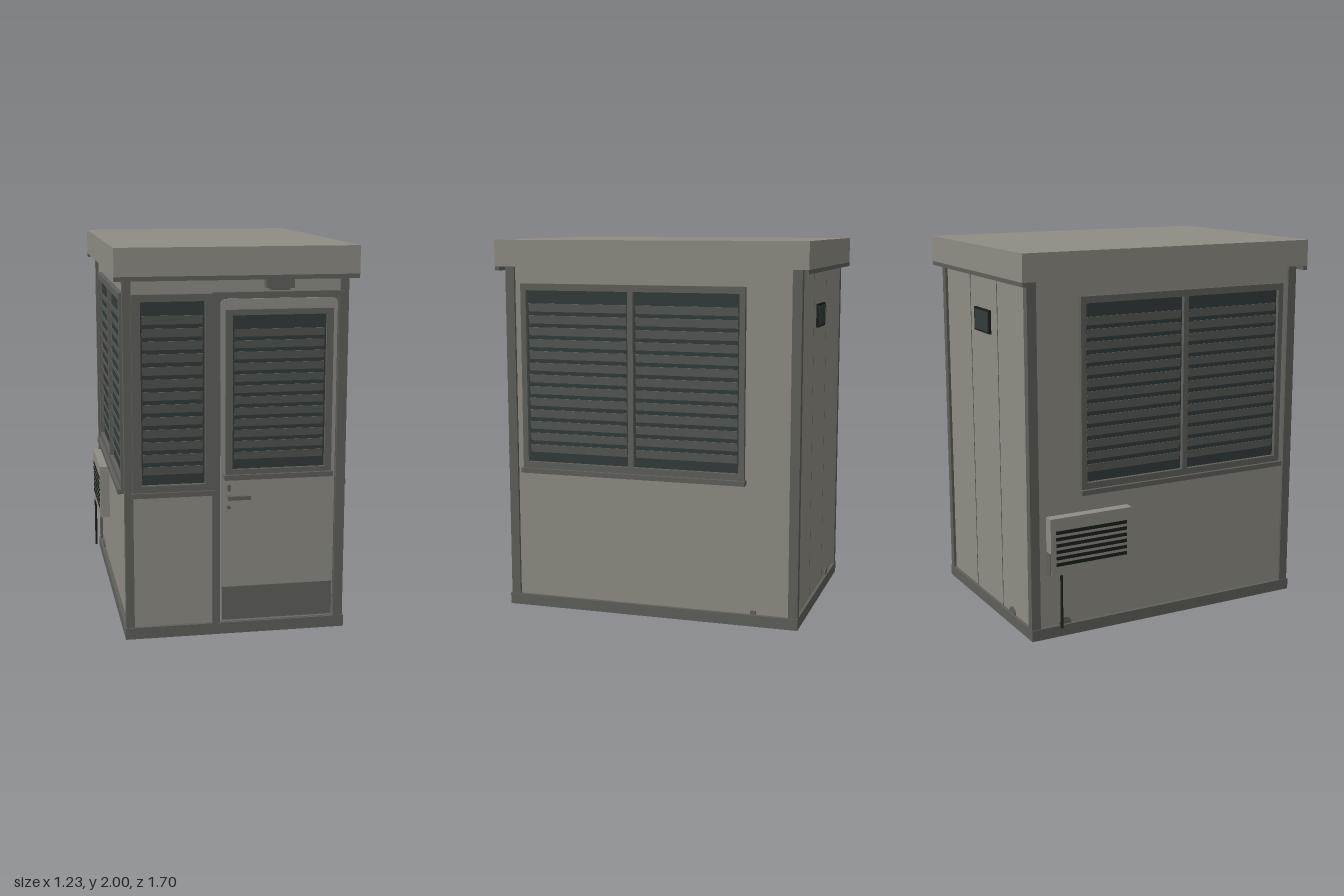
import * as THREE from 'three';

const mat = (name, color) => {
  const m = new THREE.MeshStandardMaterial({ color });
  m.name = name;
  return m;
};

export function createModel() {
  const panel = mat('panel grey', 0x8f8c83);
  const trim = mat('trim grey', 0x5f605a);
  const slatGrey = mat('blind grey', 0x60645f);
  const glass = mat('dark glass', 0x323b3b);
  const black = mat('black', 0x1c1e1e);

  const model = new THREE.Group();
  model.name = 'guardBooth';

  // Box given by its limits on each axis
  const box = (name, m, x0, x1, y0, y1, z0, z1, parent = model) => {
    const mesh = new THREE.Mesh(new THREE.BoxGeometry(x1 - x0, y1 - y0, z1 - z0), m);
    mesh.position.set((x0 + x1) / 2, (y0 + y1) / 2, (z0 + z1) / 2);
    mesh.name = name;
    parent.add(mesh);
    return mesh;
  };

  // Short round part whose axis points along +z of its parent
  const disc = (name, m, r, depth, x, y, z, parent = model) => {
    const geo = new THREE.CylinderGeometry(r, r, depth, 24).rotateX(Math.PI / 2);
    const mesh = new THREE.Mesh(geo, m);
    mesh.position.set(x, y, z + depth / 2);
    mesh.name = name;
    parent.add(mesh);
    return mesh;
  };

  // Rectangular outline
  const rect = (Type, x0, x1, y0, y1) => {
    const s = new Type();
    s.moveTo(x0, y0);
    s.lineTo(x1, y0);
    s.lineTo(x1, y1);
    s.lineTo(x0, y1);
    s.closePath();
    return s;
  };

  // Window facing local +z, with its back at z = 0: frame, panes, blinds, sill
  const blindWindow = (name, [x0, x1, y0, y1], panes, [g0, g1], slats, sillOut, frameOut) => {
    const win = new THREE.Group();
    win.name = name;
    const shape = rect(THREE.Shape, x0, x1, y0, y1);
    for (const [a, b] of panes) shape.holes.push(rect(THREE.Path, a, b, g0, g1));
    const frame = new THREE.Mesh(
      new THREE.ExtrudeGeometry(shape, { depth: frameOut, bevelEnabled: false }), trim);
    frame.name = 'windowFrame';
    win.add(frame);
    const low = g0 + 0.042, pitch = (g1 - 0.06 - low) / slats;
    for (const [a, b] of panes) {
      box('pane', glass, a, b, g0, g1, 0, 0.003, win);
      for (let i = 0; i < slats; i++) {
        const y = low + (i + 0.5) * pitch;
        const s = box('blindSlat', slatGrey, a + 0.01, b - 0.01,
          y - pitch * 0.36, y + pitch * 0.36, 0.009, 0.011, win);
        s.rotation.x = 0.25;
      }
    }
    box('windowSill', trim, x0 - 0.007, x1 + 0.007, y0 - 0.02, y0 + 0.006, 0, sillOut, win);
    model.add(win);
    return win;
  };

  // Base, walls, roof
  box('base', trim, -0.575, 0.575, 0, 0.06, -0.805, 0.81);
  box('walls', panel, -0.555, 0.555, 0.06, 1.86, -0.79, 0.79);
  box('roof', panel, -0.613, 0.613, 1.86, 2, -0.845, 0.845);
  for (const s of [-1, 1]) {
    const z = s * 0.832;
    box('roofDripEdge', trim, -0.613, 0.613, 1.838, 1.86, z - 0.012, z + 0.012);
    box('eaveTrim', trim, -0.57, 0.57, 1.84, 1.86, s * 0.795 - 0.01, s * 0.795 + 0.01);
  }

  // Corner posts
  for (const sx of [-1, 1]) {
    for (const sz of [-1, 1]) {
      const x = sx * 0.549, z = sz * 0.779;
      box('cornerPost', trim, x - 0.021, x + 0.021, 0.06, 1.86, z - 0.025, z + 0.025);
    }
  }

  // Side windows, divided in two
  for (const s of [-1, 1]) {
    const m = s * 0.0;
    const w = blindWindow('sideWindow', [-0.615, 0.615, 0.77, 1.77],
      [[-0.585 + m, -0.015], [0.015, 0.585 + m]], [0.81, 1.735], 13, 0.043, 0.025);
    w.rotation.y = s * Math.PI / 2;
    w.position.set(s * 0.555, 0, 0.1);
  }

  // Front window beside the door
  blindWindow('frontWindow', [-0.53, -0.125, 0.77, 1.77],
    [[-0.485, -0.163]], [0.81, 1.735], 13, 0.04, 0.03).position.z = 0.79;

  // Door surround and rounded door leaf
  box('doorSurround', trim, -0.125, 0.545, 0.06, 1.775, 0.785, 0.797);
  box('doorPost', trim, -0.125, -0.09, 0.06, 1.775, 0.79, 0.815);
  box('doorPost', trim, 0.518, 0.545, 0.06, 1.775, 0.79, 0.815);
  box('doorHead', trim, -0.125, 0.545, 1.75, 1.775, 0.79, 0.815);
  const d = new THREE.Shape();
  d.moveTo(-0.083, 0.066);
  d.lineTo(0.512, 0.066);
  d.lineTo(0.512, 1.71);
  d.quadraticCurveTo(0.512, 1.742, 0.48, 1.742);
  d.lineTo(-0.051, 1.742);
  d.quadraticCurveTo(-0.083, 1.742, -0.083, 1.71);
  d.closePath();
  const leaf = new THREE.Mesh(
    new THREE.ExtrudeGeometry(d, { depth: 0.012, bevelEnabled: false, curveSegments: 6 }), panel);
  leaf.position.z = 0.795;
  leaf.name = 'doorLeaf';
  model.add(leaf);
  box('kickPlate', trim, -0.075, 0.507, 0.076, 0.255, 0.806, 0.811);
  blindWindow('doorWindow', [-0.06, 0.488, 0.848, 1.69],
    [[-0.025, 0.453]], [0.88, 1.662], 12, 0.035, 0.02).position.z = 0.807;

  // Door handle, lock and closer
  box('handleStem', trim, -0.048, -0.03, 0.726, 0.744, 0.805, 0.845);
  box('doorHandle', trim, -0.05, 0.065, 0.725, 0.745, 0.835, 0.85);
  box('lockPlate', trim, -0.05, -0.035, 0.77, 0.8, 0.805, 0.835);
  disc('keyCylinder', trim, 0.01, 0.015, -0.042, 0.68, 0.806);
  box('doorCloser', trim, 0.14, 0.28, 1.795, 1.84, 0.79, 0.845);
  box('doorCloserFoot', trim, 0.16, 0.26, 1.785, 1.795, 0.79, 0.84);

  // Rear seams and vent
  for (const x of [-0.17, 0.19]) {
    box('rearSeam', trim, x - 0.002, x + 0.002, 0.06, 1.84, -0.792, -0.788);
  }
  box('rearVentFrame', black, -0.085, 0.115, 1.535, 1.66, -0.803, -0.788);
  box('rearVentPane', glass, -0.075, 0.105, 1.545, 1.65, -0.806, -0.802);

  // Cable ports along the base
  disc('rearPort', trim, 0.035, 0.008, -0.3, 0.062, -0.798);
  const port = new THREE.Group();
  port.name = 'sidePort';
  port.rotation.y = -Math.PI / 2;
  port.position.set(-0.555, 0, -0.61);
  disc('portCap', trim, 0.035, 0.008, 0, 0.062, 0, port);
  model.add(port);
  box('sideOutlet', trim, 0.55, 0.56, 0.06, 0.08, -0.58, -0.55);

  // Air conditioner with grille and drain pipe
  box('airConditioner', panel, -0.61, -0.55, 0.35, 0.655, -0.71, -0.24);
  box('airConditionerEndCover', trim, -0.608, -0.56, 0.352, 0.47, -0.713, -0.7);
  for (let i = 0; i < 6; i++) {
    const y = 0.4 + i * 0.034;
    box('grilleSlot', black, -0.613, -0.609, y, y + 0.018, -0.68, -0.27);
  }
  const pipe = new THREE.Mesh(new THREE.CylinderGeometry(0.007, 0.007, 0.29, 12), black);
  pipe.position.set(-0.606, 0.205, -0.65);
  pipe.name = 'drainPipe';
  model.add(pipe);

  return model;
}
